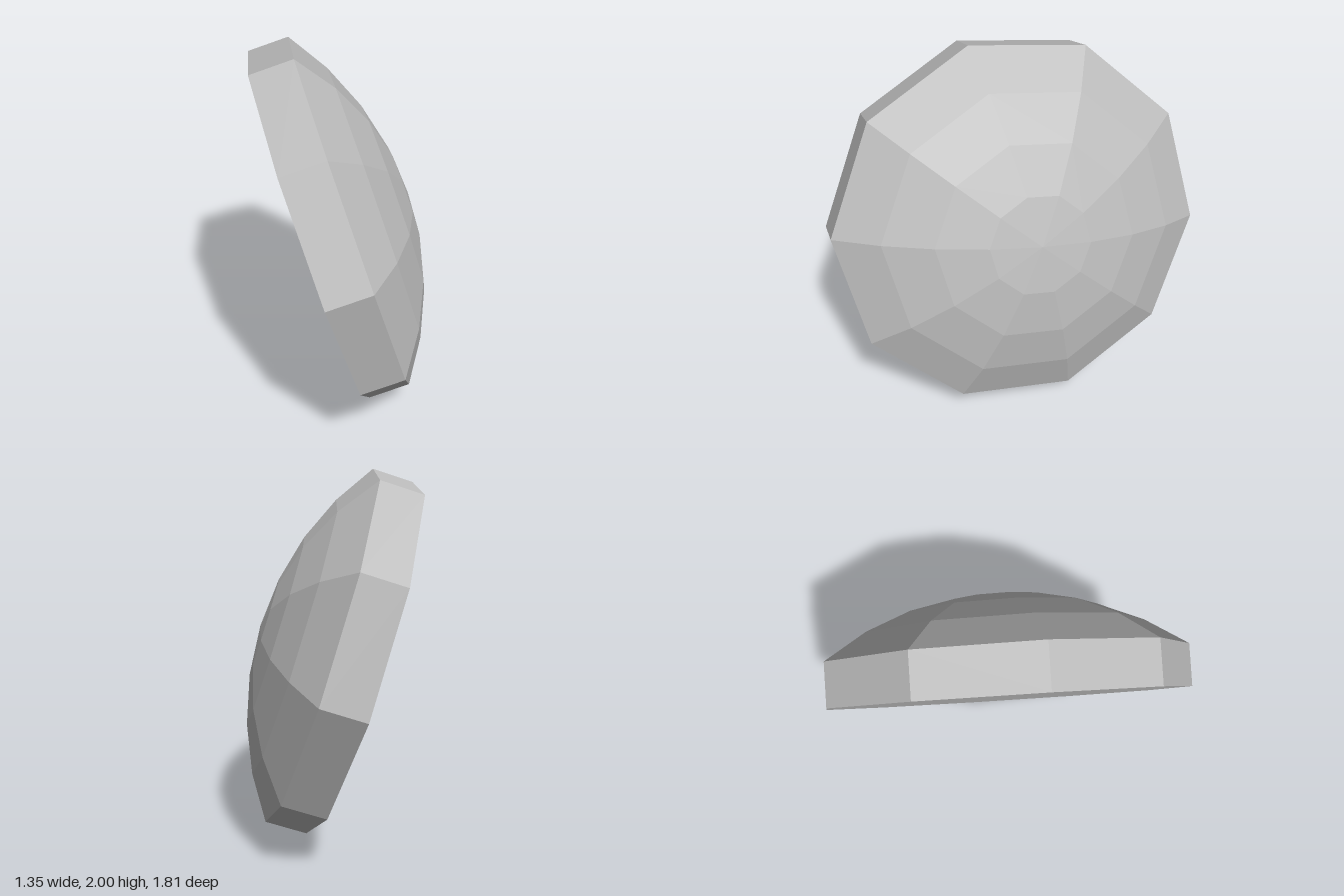
import * as THREE from 'three';

const SIDES = 10;
const RADIUS = 1.028;
const THICKNESS = 0.235;
const DOME_ANGLE = THREE.MathUtils.degToRad(37);
const DOME_STEPS = 4;

// Faceted ten-sided solid of revolution around y
function facetedLathe(points) {
  const geometry = new THREE.LatheGeometry(points, SIDES).toNonIndexed();
  geometry.computeVertexNormals();
  return geometry;
}

export function createModel() {
  const model = new THREE.Group();
  model.name = 'tiltedDome';
  const grey = new THREE.MeshStandardMaterial({ color: 0xbcbcbc });
  grey.name = 'grey';

  // Flat back and straight rim
  const rim = new THREE.Mesh(facetedLathe([
    new THREE.Vector2(0, -THICKNESS),
    new THREE.Vector2(RADIUS, -THICKNESS),
    new THREE.Vector2(RADIUS, 0),
  ]), grey);
  rim.name = 'rimAndBack';

  // Shallow spherical cap
  const sphereRadius = RADIUS / Math.sin(DOME_ANGLE);
  const profile = [];
  for (let i = DOME_STEPS; i >= 0; i--) {
    const a = (DOME_ANGLE * i) / DOME_STEPS;
    profile.push(new THREE.Vector2(
      sphereRadius * Math.sin(a),
      sphereRadius * (Math.cos(a) - Math.cos(DOME_ANGLE)),
    ));
  }
  const dome = new THREE.Mesh(facetedLathe(profile), grey);
  dome.name = 'dome';

  // Tilt: dome axis along "up", one rim corner along "corner"
  const up = new THREE.Vector3(0.803, 0.306, 0.511).normalize();
  const corner = new THREE.Vector3(-0.585, 0.675, 0.51);
  corner.addScaledVector(up, -corner.dot(up)).normalize();
  const side = new THREE.Vector3().crossVectors(up, corner);
  const body = new THREE.Group();
  body.name = 'body';
  body.add(rim, dome);
  body.quaternion.setFromRotationMatrix(new THREE.Matrix4().makeBasis(side, up, corner));
  body.position.set(0.092, 1.037, 0.06);
  model.add(body);
  return model;
}
